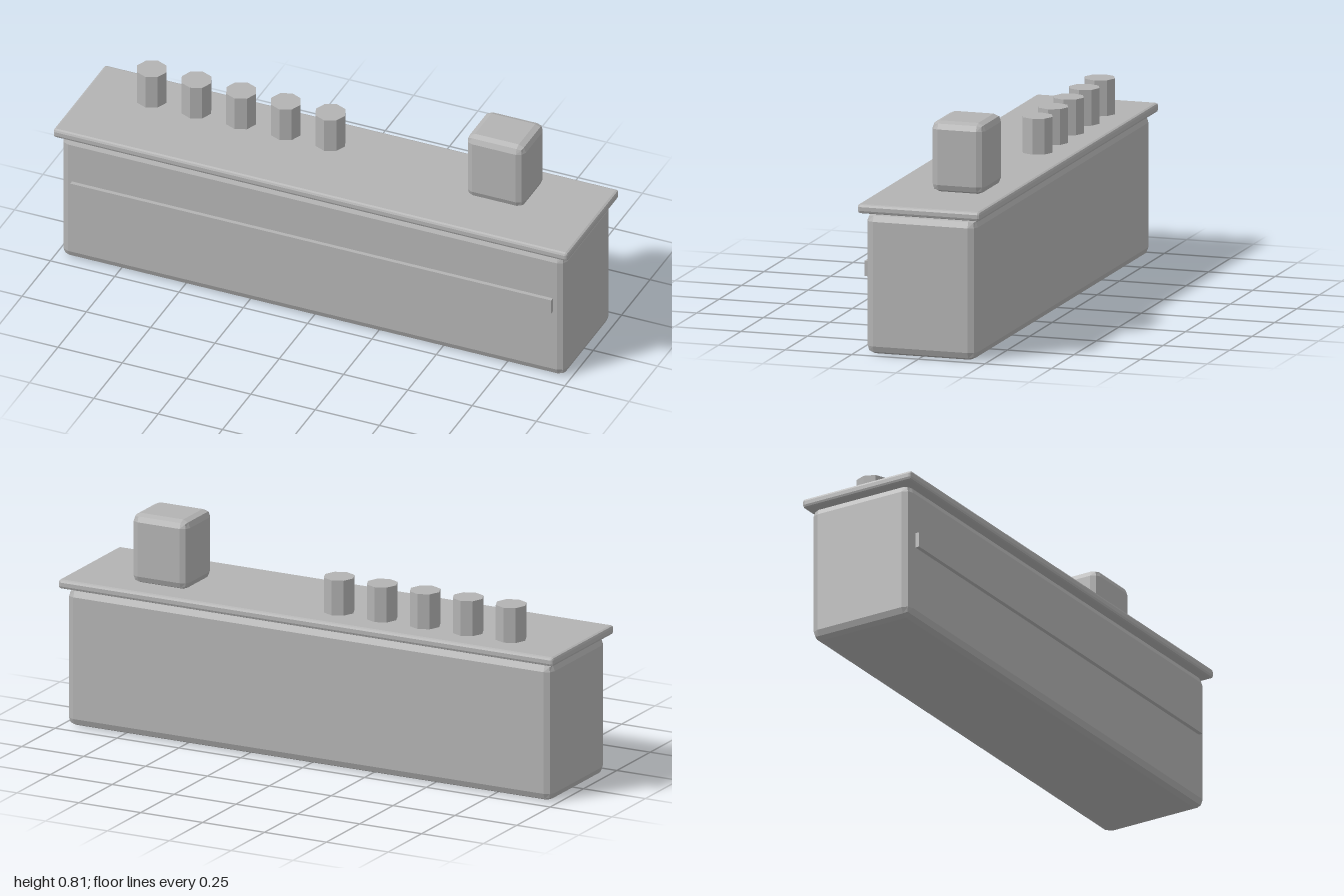
import * as THREE from 'three';
import { RoundedBoxGeometry } from 'three/addons/geometries/RoundedBoxGeometry.js';

export function createModel() {
  const group = new THREE.Group();
  const grey = new THREE.MeshStandardMaterial({ color: 0xb3b3b3, flatShading: true });
  grey.name = 'grey';

  function add(name, geometry, x, y, z) {
    const mesh = new THREE.Mesh(geometry, grey);
    mesh.name = name;
    mesh.position.set(x, y, z);
    group.add(mesh);
  }

  // Counter body with faceted rounded edges
  add('counterBody', new RoundedBoxGeometry(1.96, 0.513, 0.415, 1, 0.03), 0, 0.2585, 0);

  // Overhanging worktop
  add('worktop', new RoundedBoxGeometry(2, 0.034, 0.46, 1, 0.01), 0, 0.533, 0);

  // Raised strip along the front
  add('frontStrip', new THREE.BoxGeometry(1.87, 0.056, 0.03), 0, 0.304, 0.208);

  // Appliance hovering just above the worktop
  add('appliance', new RoundedBoxGeometry(0.226, 0.258, 0.2, 1, 0.028), 0.632, 0.684, -0.058);

  // Row of octagonal cups
  for (let i = 0; i < 5; i++) {
    add('cup' + (i + 1), new THREE.CylinderGeometry(0.057, 0.057, 0.132, 8), -0.756 + i * 0.1737, 0.614, -0.09);
  }

  return group;
}
